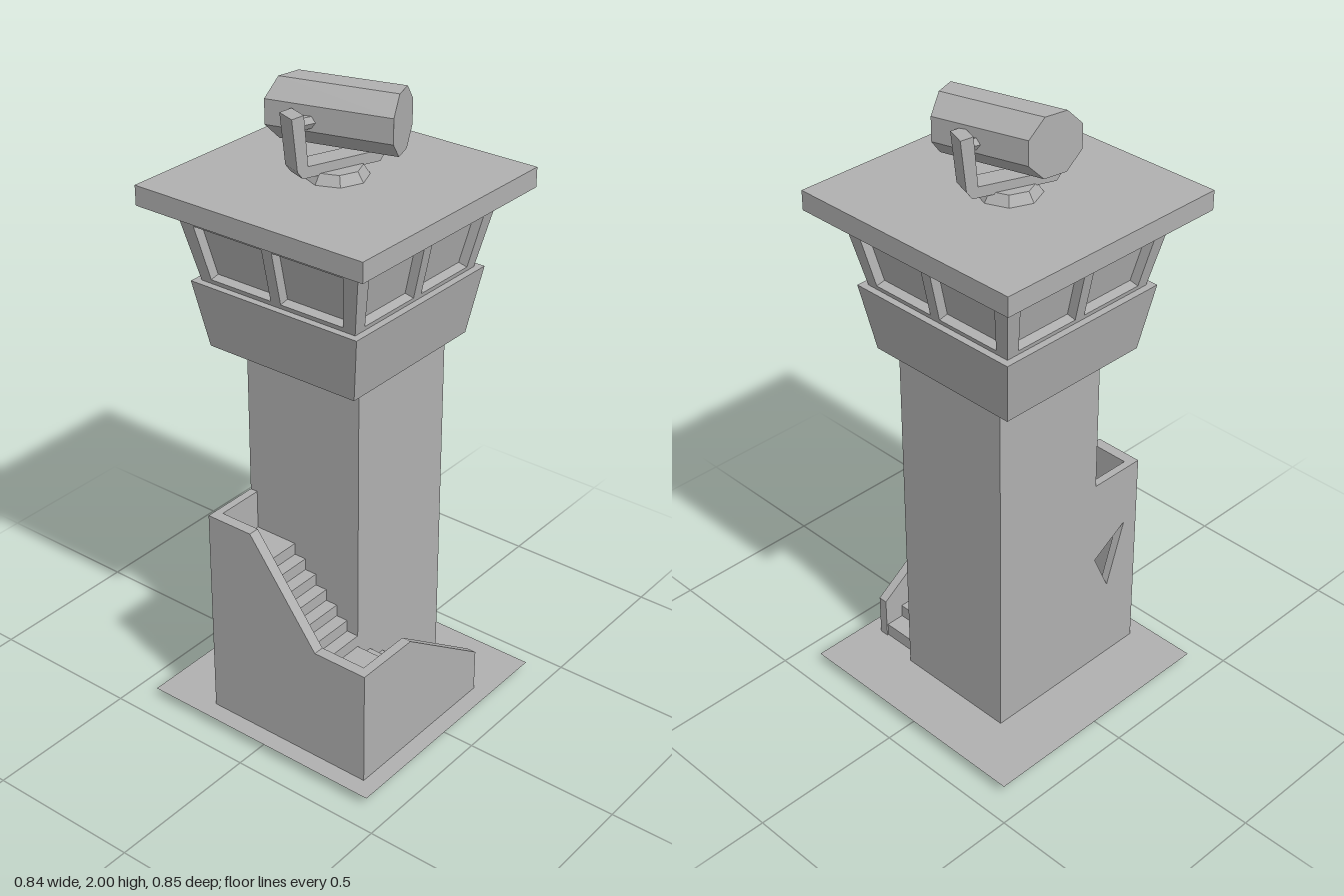
import * as THREE from 'three';

const concrete = new THREE.MeshStandardMaterial({ color: 0xb0b0b0 });

export function createModel() {
  const model = new THREE.Group();
  model.name = 'watchtower';

  function add(name, geometry, parent = model) {
    const mesh = new THREE.Mesh(geometry, concrete);
    mesh.name = name;
    parent.add(mesh);
    return mesh;
  }
  // Box given by its limits on each axis
  function box(name, x0, x1, y0, y1, z0, z1) {
    const g = new THREE.BoxGeometry(x1 - x0, y1 - y0, z1 - z0);
    g.translate((x0 + x1) / 2, (y0 + y1) / 2, (z0 + z1) / 2);
    return add(name, g);
  }
  function faceted(geometry) {
    const g = geometry.toNonIndexed();
    g.computeVertexNormals();
    return g;
  }
  // Square frustum, given by half widths at bottom and top
  function frustum(bottom, top, y0, y1) {
    const g = new THREE.CylinderGeometry(top * Math.SQRT2, bottom * Math.SQRT2, y1 - y0, 4);
    g.rotateY(Math.PI / 4).translate(0, (y0 + y1) / 2, 0);
    return faceted(g);
  }
  const outline = (pts) => pts.map(([x, y]) => new THREE.Vector2(x, y));
  function extrude(pts, depth, holes = []) {
    const shape = new THREE.Shape(outline(pts));
    holes.forEach((h) => shape.holes.push(new THREE.Path(outline(h))));
    return new THREE.ExtrudeGeometry(shape, { depth, bevelEnabled: false });
  }

  // Thin ground slab, dipping to one low point underneath
  const slab = new THREE.ConeGeometry(0.418 * Math.SQRT2, 0.03, 4);
  slab.rotateX(Math.PI).rotateY(Math.PI / 4).translate(0, 0.015, 0);
  const sp = slab.attributes.position;
  for (let i = 0; i < sp.count; i++) {
    if (sp.getY(i) < 0.01) sp.setXYZ(i, 0.2, 0, 0.17);
  }
  add('groundSlab', faceted(slab));

  // Main shaft
  box('shaft', -0.17, 0.235, 0.02, 1.23, -0.22, 0.19);

  // Stair parapets: front, side and back
  add('frontParapet', extrude([[-0.36, 0.03], [0.205, 0.03], [0.205, 0.17],
    [-0.14, 0.41], [-0.36, 0.41]], 0.03).translate(0, 0, 0.333));
  add('sideParapet', extrude([[-0.22, 0.03], [0.363, 0.03], [0.363, 0.41],
    [0.18, 0.41], [-0.06, 0.727], [-0.22, 0.727]], 0.035)
    .rotateY(-Math.PI / 2).translate(-0.325, 0, 0));
  add('backParapet', extrude([[-0.36, 0.03], [-0.165, 0.03], [-0.165, 0.727], [-0.36, 0.727]],
    0.025, [[[-0.175, 0.44], [-0.305, 0.52], [-0.235, 0.31]]]).translate(0, 0, -0.22));

  // First flight climbs along the front to the corner landing
  const steps = 6;
  for (let i = 0; i < steps; i++) {
    const x = 0.2 - (0.37 * i) / steps;
    box('lowerStep', x - 0.37 / steps, x, 0.03, 0.03 + (0.3 * (i + 1)) / (steps + 1), 0.18, 0.335);
  }
  box('cornerLanding', -0.335, -0.17, 0.03, 0.33, 0.15, 0.335);

  // Second flight climbs along the side to the back landing
  for (let i = 0; i < steps; i++) {
    const z = 0.19 - (0.24 * i) / steps;
    box('upperStep', -0.335, -0.165, 0.03, 0.33 + (0.27 * (i + 1)) / (steps + 1), z - 0.24 / steps, z);
  }
  box('backLanding', -0.335, -0.165, 0.56, 0.6, -0.2, -0.05);

  // Lookout cabin
  const cabin = new THREE.Group();
  cabin.name = 'cabin';
  cabin.position.set(0.018, 0, -0.031);
  model.add(cabin);
  add('cabinBase', frustum(0.262, 0.297, 1.22, 1.43), cabin);
  add('windowPanes', frustum(0.244, 0.294, 1.43, 1.67), cabin);

  // Leaning window frames, two openings on each side
  const tilt = Math.atan(0.05 / 0.24);
  const slant = Math.hypot(0.05, 0.24);
  const opening = [[0.018, 0.014], [0.236, 0.014], [0.264, 0.185], [0.018, 0.185]];
  const mirrored = opening.map(([x, y]) => [-x, y]);
  for (let i = 0; i < 4; i++) {
    const frame = extrude([[-0.275, 0], [0.275, 0], [0.325, slant], [-0.325, slant]],
      0.03, [opening, mirrored]);
    frame.translate(0, 0, -0.03).rotateX(tilt).translate(0, 1.43, 0.275).rotateY((i * Math.PI) / 2);
    add('windowFrame', frame, cabin);
  }

  // Flat roof
  box('roof', -0.38, 0.413, 1.667, 1.728, -0.428, 0.364);

  // Searchlight mount and fork
  const mount = new THREE.CylinderGeometry(0.075, 0.095, 0.03, 8);
  add('lightMount', faceted(mount.translate(0.02, 1.742, -0.04)));
  const fork = extrude([[-0.125, 1.752], [0.125, 1.752], [0.142, 1.775], [0.158, 1.93],
    [0.12, 1.935], [0.108, 1.785], [-0.108, 1.785], [-0.12, 1.935], [-0.158, 1.93],
    [-0.142, 1.775]], 0.066);
  fork.translate(0, 0, -0.033).rotateY(-0.35).translate(0.023, 0, -0.045);
  add('lightFork', fork);
  // Pivots joining the fork to the barrel
  const pivot = new THREE.CylinderGeometry(0.02, 0.02, 0.27, 6);
  add('lightPivot', faceted(pivot.rotateZ(Math.PI / 2).rotateY(-0.35).translate(0.023, 1.9, -0.045)));

  // Eight-sided barrel, skewed between its two end faces
  const barrel = new THREE.CylinderGeometry(0.0974, 0.0974, 1, 8);
  barrel.rotateY(Math.PI / 8).rotateX(Math.PI / 2);
  const bp = barrel.attributes.position;
  for (let i = 0; i < bp.count; i++) {
    const near = bp.getZ(i) > 0;
    const x = bp.getX(i) * (near ? 0.87 : 0.97);
    bp.setXYZ(i, x + (near ? 0.082 : -0.008), bp.getY(i) + 1.91,
      near ? 0.141 - 0.34 * x : -0.185 + 0.17 * x);
  }
  add('lightBarrel', faceted(barrel));

  return model;
}
